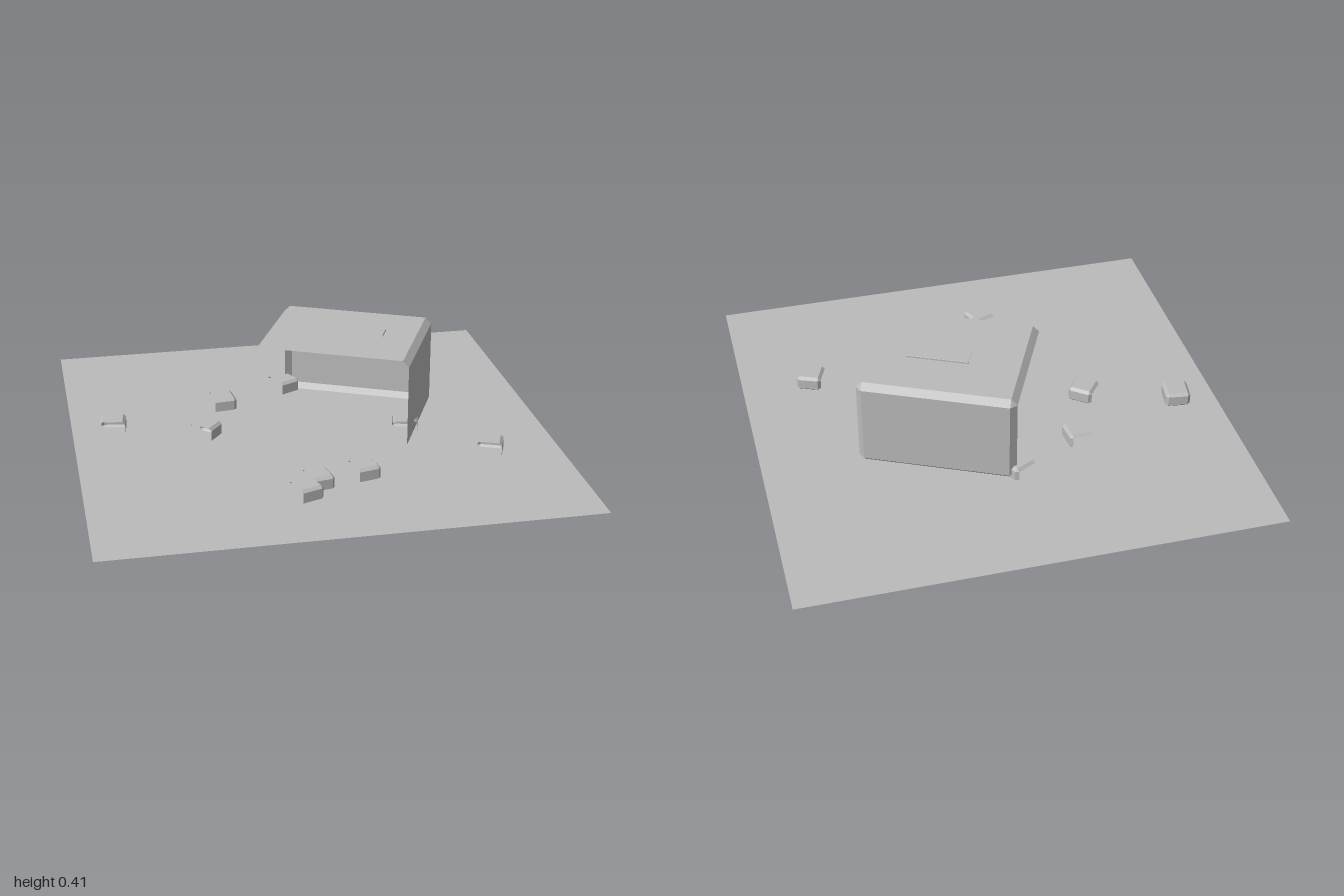
import * as THREE from 'three';

const grey = new THREE.MeshStandardMaterial({ color: 0xbbbbbb, side: THREE.DoubleSide });
grey.name = 'plain grey';

// Open chamfered shell: top, back wall and right wall, open at front, left and below.
function shell(name, width, depth, h, c) {
  const w = width / 2, d = depth / 2;
  const faces = [
    // top, back wall, right wall
    [[-w + c, h, d], [w - c, h, d], [w - c, h, -d + c], [-w + c, h, -d + c]],
    [[w - c, c, -d], [-w + c, c, -d], [-w + c, h - c, -d], [w - c, h - c, -d]],
    [[w, c, d], [w, c, -d + c], [w, h - c, -d + c], [w, h - c, d]],
    // top chamfers: back, right, left
    [[w - c, h - c, -d], [-w + c, h - c, -d], [-w + c, h, -d + c], [w - c, h, -d + c]],
    [[w, h - c, d], [w, h - c, -d + c], [w - c, h, -d + c], [w - c, h, d]],
    [[-w, h - c, -d + c], [-w, h - c, d], [-w + c, h, d], [-w + c, h, -d + c]],
    // upright chamfers: back right, back left
    [[w, c, -d + c], [w - c, c, -d], [w - c, h - c, -d], [w, h - c, -d + c]],
    [[-w + c, c, -d], [-w, c, -d + c], [-w, h - c, -d + c], [-w + c, h - c, -d]],
    // lower back chamfer
    [[w - c, 0, -d + c], [-w + c, 0, -d + c], [-w + c, c, -d], [w - c, c, -d]],
    // corner triangles
    [[w, h - c, -d + c], [w - c, h - c, -d], [w - c, h, -d + c]],
    [[-w + c, h - c, -d], [-w, h - c, -d + c], [-w + c, h, -d + c]],
  ];
  const points = [];
  for (const f of faces) {
    for (let i = 1; i < f.length - 1; i++) points.push(...f[0], ...f[i], ...f[i + 1]);
  }
  const geometry = new THREE.BufferGeometry();
  geometry.setAttribute('position', new THREE.Float32BufferAttribute(points, 3));
  geometry.computeVertexNormals();
  const mesh = new THREE.Mesh(geometry, grey);
  mesh.name = name;
  return mesh;
}

function place(mesh, x, y, z, turn) {
  mesh.position.set(x, y, z);
  mesh.rotation.y = -THREE.MathUtils.degToRad(turn);
  return mesh;
}

export function createModel() {
  const model = new THREE.Group();
  model.name = 'blockScene';

  // Ground sheet
  const ground = new THREE.Mesh(new THREE.PlaneGeometry(2, 2).rotateX(-Math.PI / 2), grey);
  ground.name = 'ground';
  ground.position.y = 0.003;
  model.add(ground);

  // Large block with a thin plate on its roof
  model.add(place(shell('largeBlock', 0.666, 0.547, 0.401, 0.026), 0.181, 0, -0.1, 25.2));
  model.add(place(shell('roofPlate', 0.262, 0.072, 0.009, 0.001), 0.221, 0.4, -0.093, 25.2));

  // Small scattered blocks: x, z, turn in degrees
  const blocks = [
    [-0.825, -0.135, 8],
    [-0.325, -0.29, 84],
    [-0.44, -0.01, 38],
    [0.135, 0.505, 77],
    [-0.065, 0.555, 79],
    [-0.13, 0.64, 70],
    [0.7, 0.375, 22],
    [0.405, 0.1, 12],
    [-0.025, -0.435, 63],
  ];
  for (const [x, z, turn] of blocks) {
    model.add(place(shell('smallBlock', 0.108, 0.098, 0.067, 0.012), x, 0, z, turn));
  }
  return model;
}
